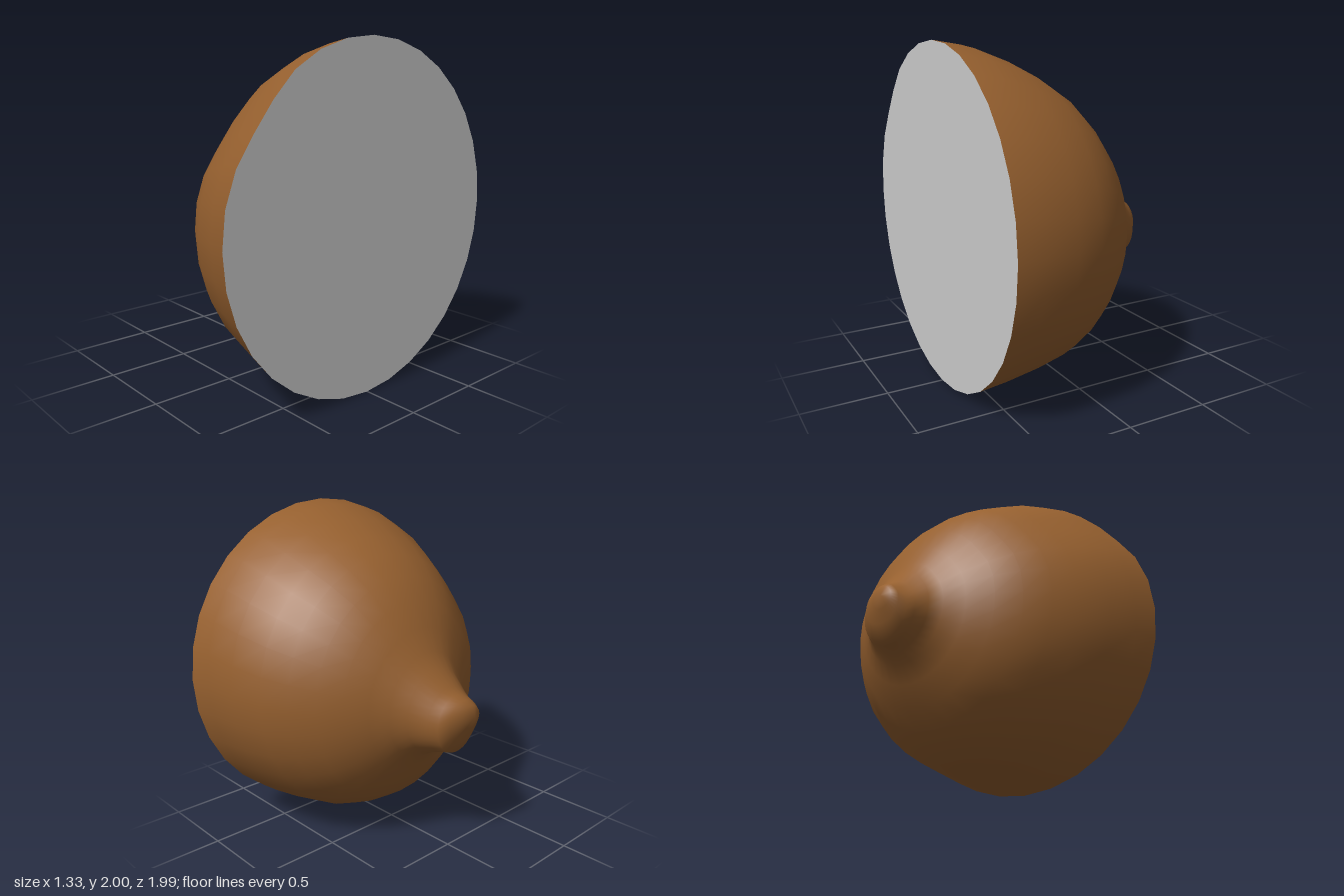
import * as THREE from 'three';

const SIDES = 32;

// Cross-sections from the cut to the nub: x, top y, bottom y, back z, front z
const SECTIONS = [
  [0.66, 2.0, 0.0, -0.99, 1.0],
  [0.5, 1.975, 0.025, -0.98, 0.955],
  [0.3, 1.9, 0.065, -0.95, 0.89],
  [0.12, 1.81, 0.105, -0.885, 0.79],
  [-0.02, 1.72, 0.17, -0.805, 0.7],
  [-0.14, 1.61, 0.25, -0.7, 0.59],
  [-0.24, 1.48, 0.365, -0.6, 0.47],
  [-0.32, 1.34, 0.485, -0.48, 0.33],
  [-0.385, 1.215, 0.585, -0.385, 0.22],
  [-0.45, 1.13, 0.63, -0.31, 0.165],
  [-0.53, 1.035, 0.648, -0.24, 0.14],
  [-0.58, 1.0, 0.655, -0.2, 0.12],
  [-0.62, 0.975, 0.74, -0.15, 0.1],
  [-0.65, 0.945, 0.81, -0.07, 0.07],
];
const TIP = [-0.67, 0.88, 0.01];

// Oval ring, slightly flattened on its upper front shoulder
function ring([x, top, bottom, back, front]) {
  const points = [];
  for (let j = 0; j < SIDES; j++) {
    const a = (j / SIDES) * Math.PI * 2;
    const r = 1 - 0.035 * Math.exp(-(((a - 0.66) / 0.25) ** 2));
    points.push([
      x,
      (top + bottom) / 2 + (r * Math.sin(a) * (top - bottom)) / 2,
      (front + back) / 2 + (r * Math.cos(a) * (front - back)) / 2,
    ]);
  }
  return points;
}

function makeMesh(name, points, index, color) {
  const geometry = new THREE.BufferGeometry();
  geometry.setAttribute('position', new THREE.Float32BufferAttribute(points.flat(), 3));
  geometry.setIndex(index);
  geometry.computeVertexNormals();
  const mesh = new THREE.Mesh(geometry, new THREE.MeshStandardMaterial({ color }));
  mesh.name = name;
  return mesh;
}

export function createModel() {
  const group = new THREE.Group();
  group.name = 'halvedFruit';

  // Skin: rings joined in bands, closed by a fan at the nub
  const skinPoints = [...SECTIONS.flatMap(ring), TIP];
  const tip = skinPoints.length - 1;
  const skinIndex = [];
  for (let i = 0; i < SECTIONS.length; i++) {
    for (let j = 0; j < SIDES; j++) {
      const a = i * SIDES + j;
      const b = i * SIDES + ((j + 1) % SIDES);
      if (i === SECTIONS.length - 1) skinIndex.push(a, b, tip);
      else skinIndex.push(a, b, a + SIDES, b, b + SIDES, a + SIDES);
    }
  }
  group.add(makeMesh('skin', skinPoints, skinIndex, 0x96602f));

  // Flat cut face
  const cutPoints = [...ring(SECTIONS[0]), [SECTIONS[0][0], 1, 0]];
  const cutIndex = [];
  for (let j = 0; j < SIDES; j++) cutIndex.push(SIDES, (j + 1) % SIDES, j);
  group.add(makeMesh('cutFace', cutPoints, cutIndex, 0xcccccc));

  return group;
}
